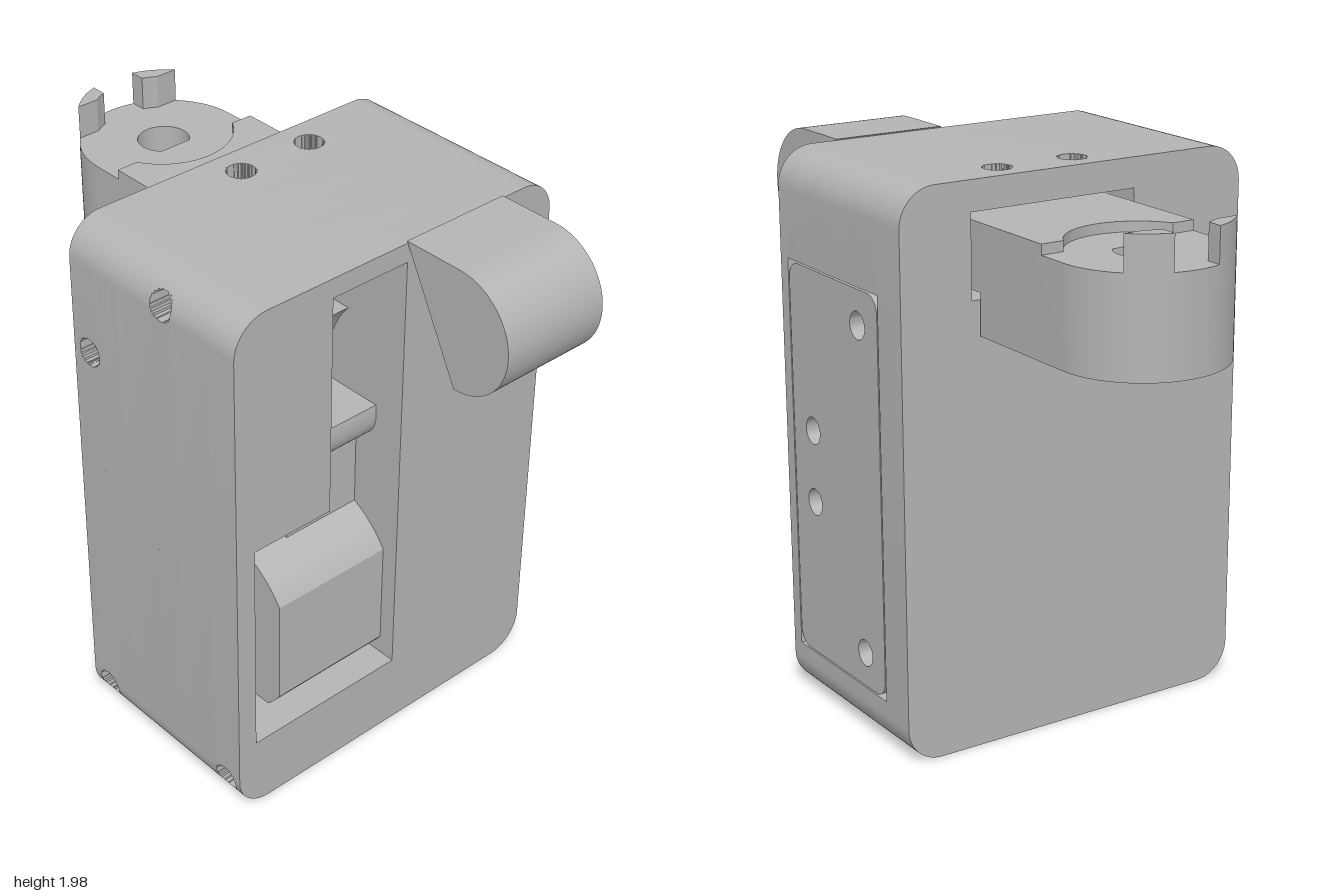
import * as THREE from 'three';
import { toCreasedNormals } from 'three/addons/utils/BufferGeometryUtils.js';

const H = 1.97, W = 0.675, R = 0.13, BACK = -0.235, FRONT = 0.56;

export function createModel() {
  const grey = new THREE.MeshStandardMaterial({ color: 0xb4b4b4 });
  grey.name = 'grey plastic';
  const model = new THREE.Group();

  const add = (name, geo, parent = model) => {
    const mesh = new THREE.Mesh(geo, grey);
    mesh.name = name;
    parent.add(mesh);
    return mesh;
  };
  const poly = pts => new THREE.Shape(pts.map(p => new THREE.Vector2(p[0], p[1])));
  const extrude = (shape, depth) => toCreasedNormals(
    new THREE.ExtrudeGeometry(shape, { depth, bevelEnabled: false, curveSegments: 32 }), 0.5);
  // shape in (z, y), spanning x0..x1
  const alongX = (shape, x0, x1) => extrude(shape, x1 - x0).rotateY(-Math.PI / 2).translate(x1, 0, 0);
  // shape in (x, -z), spanning y0..y1
  const alongY = (shape, y0, y1) => extrude(shape, y1 - y0).rotateX(-Math.PI / 2).translate(0, y0, 0);
  const circle = (x, y, r) => new THREE.Path().absarc(x, y, r, 0, Math.PI * 2, true);

  // --- Housing: slices in z, so that the screw holes can notch the outline
  const leftHoles = [[1.87, 0.215], [1.52, -0.155], [0.1, -0.155], [0.1, 0.485]];   // [y, z]
  const topHoles = [-0.06, 0.235];
  const r = 0.05, topZ = -0.12;
  const cuts = [BACK, -0.09, -0.05, 0, 0.51, FRONT];
  for (const z of [topZ, ...leftHoles.map(h => h[1])])
    for (let i = 0; i <= 10; i++) cuts.push(z - r * Math.cos(i * Math.PI / 10));
  const zs = [...new Set(cuts.map(z => +z.toFixed(4)))].sort((a, b) => a - b);

  const edge = y => {
    const d = Math.max(0, R - y, y - (H - R));
    return W - R + Math.sqrt(Math.max(0, R * R - d * d));
  };
  const corner = [];
  for (let i = 0; i <= 12; i++) corner.push(R - R * Math.cos(i * Math.PI / 24));
  const half = (z, z0) => Math.sqrt(Math.max(0, r * r - (z - z0) ** 2));

  // one side of the outline from bottom to top, with notches [y0, y1, x]
  const side = notches => {
    const pts = [...corner, ...corner.map(y => H - y)]
      .filter(y => !notches.some(n => y >= n[0] && y <= n[1])).map(y => [edge(y), y, y]);
    for (const [a, b, x] of notches)
      pts.push([edge(a), a, a], [x, a, a + 1e-6], [x, b, b - 1e-6], [edge(b), b, b]);
    return pts.sort((a, b) => a[2] - b[2]);
  };

  const housing = new THREE.Group();
  housing.name = 'housing';
  model.add(housing);
  for (let i = 0; i < zs.length - 1; i++) {
    const z = (zs[i] + zs[i + 1]) / 2;
    const right = side(z > -0.09 && z < 0.51 ? [[0.18, 1.6, 0.62]] : []);
    const notches = [];
    for (const [y, hz] of leftHoles) {
      const h = half(z, hz);
      if (h > 0.004) notches.push([y - h, y + h, 0.5]);
    }
    const left = side(notches).reverse().map(p => [-p[0], p[1]]);
    const top = [], ht = half(z, topZ);
    if (ht > 0.004) for (const x of [...topHoles].reverse())
      top.push([x + ht, H], [x + ht, 1.885], [x - ht, 1.885], [x - ht, H]);
    const shape = poly([...right, ...top, ...left]);
    // arm opening at the back, motor bay at the front
    if (z < -0.05) shape.holes.push(poly([[-0.23, 1.575], [-0.23, 1.865], [0.41, 1.865], [0.41, 1.575]]));
    if (z > 0) shape.holes.push(poly([[-0.6, 0.27], [-0.6, 1.09], [-0.28, 1.09], [-0.28, 1.9],
      [0.03, 1.9], [0.03, 0.27]]));
    add('housingSlice', extrude(shape, zs[i + 1] - zs[i]).translate(0, 0, zs[i]), housing);
  }

  // --- Side cover with four screw holes
  const z0 = -0.084, z1 = 0.504, y0 = 0.186, y1 = 1.594, c = 0.06;
  const cover = new THREE.Shape();
  cover.absarc(z1 - c, y0 + c, c, -Math.PI / 2, 0);
  cover.absarc(z1 - c, y1 - c, c, 0, Math.PI / 2);
  cover.absarc(z0 + c, y1 - c, c, Math.PI / 2, Math.PI);
  cover.absarc(z0 + c, y0 + c, c, Math.PI, Math.PI * 1.5);
  for (const [z, y] of [[0.37, 1.02], [0.37, 0.76], [0.045, 1.47], [0.045, 0.31]])
    cover.holes.push(circle(z, y, 0.048));
  add('sideCover', alongX(cover, 0.62, W));

  // --- Curved back wall of the upper slot
  const slot = new THREE.Shape();
  slot.moveTo(0, 0.8);
  slot.lineTo(0.35, 0.8);
  slot.lineTo(0.35, 1.15);
  slot.quadraticCurveTo(0.46, 1.17, 0.44, 1.3);
  slot.lineTo(0.2, 1.3);
  slot.quadraticCurveTo(0.2, 1.5, 0.3, 1.61);
  slot.lineTo(0.22, 1.61);
  slot.quadraticCurveTo(0.24, 1.8, 0.42, 1.9);
  slot.lineTo(0, 1.9);
  add('slotBackWall', alongX(slot, -0.28, 0.03));

  // --- Motor: cylinder with flattened front and back, boss and terminals
  const my = 0.535, mz = 0.2, mr = 0.355, flat = Math.asin(0.195 / mr);
  const can = new THREE.Shape();
  can.absarc(mz, my, mr, flat, Math.PI - flat);
  can.absarc(mz, my, mr, Math.PI + flat, Math.PI * 2 - flat);
  add('motorCan', alongX(can, -0.44, 0.03));
  const boss = add('motorBoss', new THREE.CylinderGeometry(0.145, 0.145, 0.08, 32).rotateZ(Math.PI / 2));
  boss.position.set(-0.46, my, mz);
  for (const y of [0.775, 0.302])
    add('motorTerminal', new THREE.BoxGeometry(0.14, 0.02, 0.08)).position.set(-0.49, y, mz);

  // --- Rounded front lug
  const lug = new THREE.Shape();
  lug.moveTo(0.555, 1.54);
  lug.absarc(0.7825, 1.7575, 0.2175, -Math.PI / 2, Math.PI / 2);
  lug.lineTo(0.555, 1.975);
  add('frontLug', alongX(lug, 0.03, 0.45));

  // --- Rear arm with a D-shaped hole
  const arm = new THREE.Group();
  arm.name = 'rearArm';
  arm.position.x = 0.09;
  model.add(arm);
  const ar = 0.293, av = 0.705, ri = 0.24;
  const base = new THREE.Shape();
  base.moveTo(-ar, 0.243);
  base.lineTo(ar, 0.243);
  base.absarc(0, av, ar, 0, Math.PI);
  const dHole = new THREE.Path();
  const da = Math.asin(0.065 / 0.09);
  dHole.absarc(0, 0.71, 0.09, -da, Math.PI + da);
  dHole.closePath();
  base.holes.push(dHole);
  add('armPlate', alongY(base, 1.455, 1.795), arm);

  const step = new THREE.Shape();
  const sa = Math.asin(0.115 / ri);
  step.moveTo(-ar, 0.243);
  step.lineTo(ar, 0.243);
  step.lineTo(ar, 0.59);
  step.absarc(0, av, ri, -sa, -Math.PI + sa, true);
  step.lineTo(-ar, 0.59);
  add('armStep', alongY(step, 1.795, 1.83), arm);
  add('armNeck', new THREE.BoxGeometry(2 * ar, 0.23, 0.19), arm).position.set(0, 1.715, -0.148);

  // two upright prongs at the tip
  const angle = (u, rad) => Math.acos(u / rad);
  for (const mirror of [0, Math.PI]) {
    const prong = new THREE.Shape();
    const flip = a => (mirror ? Math.PI - a : a);
    prong.absarc(0, av, ar, flip(Math.asin(0.2 / ar)), flip(angle(0.085, ar)), !!mirror);
    prong.absarc(0, av, ri, flip(angle(0.085, ri)), flip(Math.asin(0.2 / ri)), !mirror);
    add('armProng', alongY(prong, 1.795, 1.915), arm);
  }
  return model;
}
